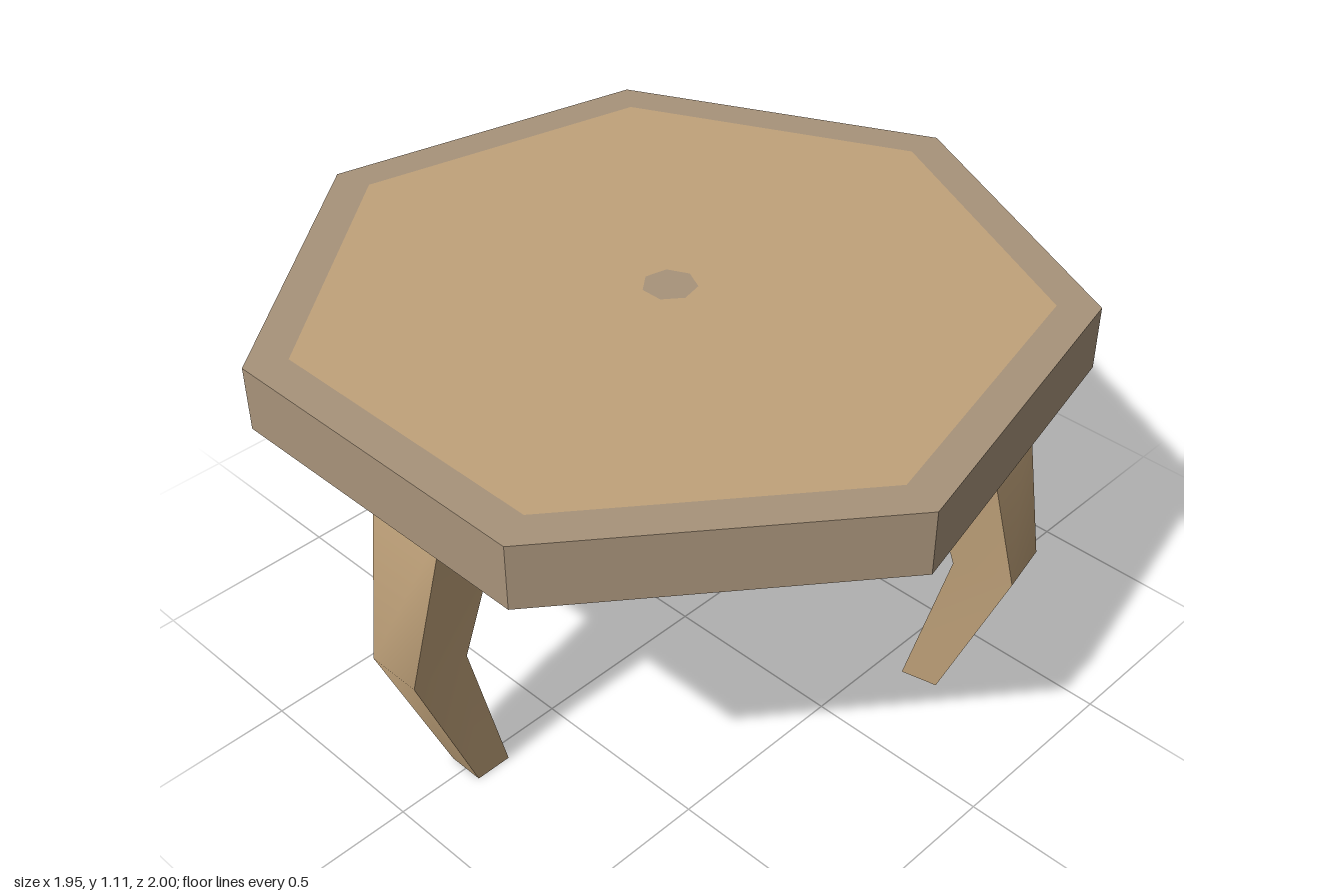
import * as THREE from 'three';
import { toCreasedNormals } from 'three/addons/utils/BufferGeometryUtils.js';

const wood = new THREE.MeshStandardMaterial({ color: 0xc0a27a, side: THREE.DoubleSide });
const darkWood = new THREE.MeshStandardMaterial({ color: 0xa8937a, side: THREE.DoubleSide });

const SIDES = 7, RADIUS = 1.026, INSET = 0.92, DOT = 0.069;
const TOP = 1.11, BOTTOM = 0.94, CENTRE_X = -0.053;

function part(name, geometry, material) {
  const mesh = new THREE.Mesh(geometry, material);
  mesh.name = name;
  return mesh;
}

// Bent, tapering leg: an open four-sided tube that points outward along +x
function legGeometry() {
  const sections = [ // y, inner reach, outer reach, half width
    [0, 0.643, 0.743, 0.05],
    [0.455, 0.763, 0.923, 0.075],
    [0.91, 0.638, 0.833, 0.12],
  ];
  const positions = [];
  for (const [y, inner, outer, w] of sections) {
    positions.push(outer, y, w, outer, y, -w, inner, y, -w, inner, y, w);
  }
  const index = [];
  for (let s = 0; s < sections.length - 1; s++) {
    for (let k = 0; k < 4; k++) {
      const a = s * 4 + k, b = s * 4 + (k + 1) % 4;
      index.push(a, b, b + 4, a, b + 4, a + 4);
    }
  }
  const geometry = new THREE.BufferGeometry();
  geometry.setAttribute('position', new THREE.Float32BufferAttribute(positions, 3));
  geometry.setIndex(index);
  return toCreasedNormals(geometry, 0.8);
}

export function createModel() {
  const model = new THREE.Group();
  model.name = 'sideTable';

  // Seven-sided top, hollow underneath
  const tableTop = new THREE.Group();
  tableTop.name = 'tableTop';
  tableTop.position.x = CENTRE_X;
  const rim = new THREE.CylinderGeometry(RADIUS, RADIUS, TOP - BOTTOM, SIDES, 1, true, Math.PI / 2);
  rim.translate(0, (TOP + BOTTOM) / 2, 0);
  tableTop.add(part('rim', toCreasedNormals(rim, 0.3), darkWood));

  // Flat surface in three flush pieces: border, panel and centre inlay
  const flat = (inner, outer) =>
    new THREE.RingGeometry(inner, outer, SIDES, 1).rotateX(-Math.PI / 2).translate(0, TOP, 0);
  tableTop.add(
    part('border', flat(INSET, RADIUS), darkWood),
    part('panel', flat(DOT, INSET), wood),
    part('centreInlay',
      new THREE.CircleGeometry(DOT, SIDES).rotateX(-Math.PI / 2).translate(0, TOP, 0), darkWood),
  );
  model.add(tableTop);

  // Three legs, each facing the middle of one side of the top
  const geometry = legGeometry();
  const spread = (1.5 * 2 * Math.PI) / SIDES;
  const legs = [
    ['rightLeg', Math.PI, CENTRE_X, 0],
    ['frontLeg', spread, 0.155, -0.07],
    ['backLeg', -spread, 0.155, 0.05],
  ];
  for (const [name, angle, x, z] of legs) {
    const leg = part(name, geometry, wood);
    leg.position.set(x, 0, z);
    leg.rotation.y = -angle;
    model.add(leg);
  }
  return model;
}
